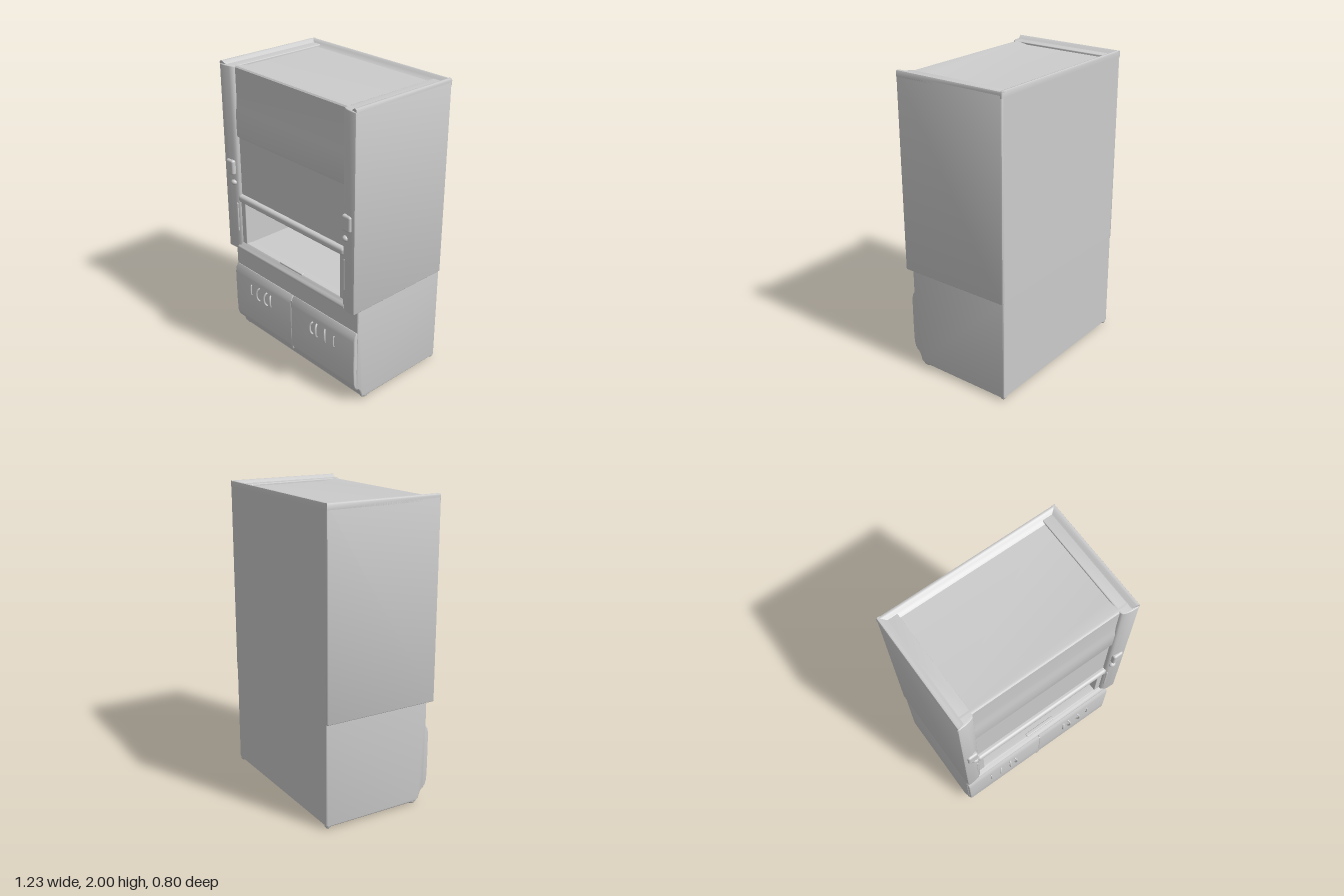
import * as THREE from 'three';
import { toCreasedNormals } from 'three/addons/utils/BufferGeometryUtils.js';
import { RoundedBoxGeometry } from 'three/addons/geometries/RoundedBoxGeometry.js';

const grey = new THREE.MeshStandardMaterial({ color: 0xcccccc });

export function createModel() {
  const model = new THREE.Group();

  const add = (name, geometry) => {
    const mesh = new THREE.Mesh(geometry, grey);
    mesh.name = name;
    model.add(mesh);
    return mesh;
  };

  // Rounded box given by its limits on each axis
  const box = (name, x0, x1, y0, y1, z0, z1, r = 0.008) => {
    const mesh = add(name, new RoundedBoxGeometry(x1 - x0, y1 - y0, z1 - z0, 3, r));
    mesh.position.set((x0 + x1) / 2, (y0 + y1) / 2, (z0 + z1) / 2);
    return mesh;
  };

  // Extrusion of an outline, centred on its depth, with softened edges
  const extrude = (points, depth, bevel) => {
    const shape = new THREE.Shape(points.map(([a, b]) => new THREE.Vector2(a, b)));
    const g = new THREE.ExtrudeGeometry(shape, {
      depth: depth - 2 * bevel, bevelEnabled: bevel > 0, bevelSize: bevel,
      bevelThickness: bevel, bevelOffset: -bevel, bevelSegments: 3,
    });
    return g.translate(0, 0, bevel - depth / 2);
  };
  // Outline of (z, y) points swept across x
  const sweepX = (points, width, bevel = 0) =>
    toCreasedNormals(extrude(points, width, bevel).rotateY(-Math.PI / 2), 0.7);

  // Lower cabinet: kick plate, bulging door front and apron in one side profile
  add('lowerCabinet', sweepX([
    [-0.39, 0.015], [0.27, 0.015], [0.295, 0.03], [0.31, 0.075], [0.325, 0.095],
    [0.34, 0.1], [0.34, 0.71], [-0.39, 0.71], [-0.4, 0.7], [-0.4, 0.025],
  ], 1.21, 0.008));

  // Cabinet doors, with a shallow seam between them
  for (const s of [-1, 1]) {
    const door = add('cabinetDoor', sweepX([
      [0.3, 0.095], [0.335, 0.1], [0.352, 0.115], [0.362, 0.15], [0.365, 0.25],
      [0.365, 0.47], [0.358, 0.505], [0.343, 0.53], [0.3, 0.54],
    ], 0.6, 0.006));
    door.position.x = s * 0.3005;
  }
  const seam = box('doorSeam', -0.012, 0.012, 0.12, 0.5, 0.34, 0.363, 0.004);
  seam.position.z -= 0.001;

  // Feet
  for (const x of [-0.585, 0.585]) for (const z of [-0.38, 0.255]) {
    const foot = add('foot', new THREE.SphereGeometry(0.02, 16, 10));
    foot.scale.z = z > 0 ? 1.6 : 1;
    foot.position.set(x, 0.02, z);
  }

  // Door handles: thin upright bows, mirrored on both doors
  const handle = (x, height, reach, radius, lean) => {
    const curve = new THREE.CatmullRomCurve3([
      [lean, height / 2, 0.355], [lean * 0.6, height / 2 - 0.004, 0.37],
      [0, height / 4, reach], [0, -height / 4, reach],
      [lean * 0.6, -height / 2 + 0.004, 0.37], [lean, -height / 2, 0.355],
    ].map((p) => new THREE.Vector3(...p)));
    const mesh = add('doorHandle', new THREE.TubeGeometry(curve, 24, radius, 8));
    mesh.position.set(x, 0.392, 0);
  };
  for (const s of [-1, 1]) {
    handle(s * 0.42, 0.08, 0.373, 0.005, 0);
    handle(s * 0.345, 0.1, 0.38, 0.006, s * -0.014);
    handle(s * 0.262, 0.1, 0.382, 0.007, s * -0.01);
    handle(s * 0.205, 0.09, 0.378, 0.007, s * 0.012);
  }

  // Side walls of the hood, with front posts curving inwards
  const wallPlan = [
    [0.5, -0.395], [0.603, -0.4], [0.612, -0.397], [0.615, -0.388], [0.615, 0.378],
    [0.612, 0.387], [0.603, 0.39], [0.56, 0.388], [0.53, 0.382], [0.508, 0.373], [0.5, 0.36],
  ];
  for (const s of [-1, 1]) {
    const plan = wallPlan.map(([x, z]) => [s * x, z]);
    const wall = extrude(plan, 1.29, 0.004).rotateX(Math.PI / 2);
    add('sideWall', toCreasedNormals(wall, 0.7)).position.y = 1.335;

    // Raised rim along the top of each side, sloping into the tray and down at the front
    const rim = extrude([
      [s * 0.615, 1.96], [s * 0.615, 1.988], [s * 0.611, 1.997], [s * 0.602, 2],
      [s * 0.592, 1.998], [s * 0.575, 1.985], [s * 0.555, 1.973], [s * 0.53, 1.966], [s * 0.53, 1.96],
    ], 0.785, 0).translate(0, 0, -0.0065);
    const p = rim.attributes.position;
    for (let i = 0; i < p.count; i++) {
      const inward = Math.max(0, 0.605 - Math.abs(p.getX(i)));
      if (p.getZ(i) > 0) p.setZ(i, p.getZ(i) - inward * 0.3);
    }
    add('sideRim', toCreasedNormals(rim, 0.7));

    // Opening jamb and inner liner
    box('jamb', s > 0 ? 0.46 : -0.51, s > 0 ? 0.51 : -0.46, 0.7, 1.1, -0.37, 0.358, 0.004);
    // Slim sash guide beside the opening
    const guide = add('sashGuide', new THREE.CapsuleGeometry(0.008, 0.2, 4, 10));
    guide.position.set(s * 0.52, 0.93, 0.375);

    // Switch plate and round knob on each post
    box('switchPlate', s * 0.553 - 0.036, s * 0.553 + 0.036, 1.24, 1.345, 0.365, 0.404, 0.014);
    const knob = add('knob', new THREE.SphereGeometry(0.02, 20, 14));
    knob.scale.set(1.15, 0.95, 1);
    knob.position.set(s * 0.535, 1.185, 0.383);
  }

  // Back panel and the raised rim above it
  box('backPanel', -0.6, 0.6, 0.69, 1.975, -0.4, -0.365, 0.004);
  add('backRim', sweepX([
    [-0.4, 1.96], [-0.335, 1.96], [-0.335, 1.966], [-0.352, 1.973], [-0.367, 1.985],
    [-0.38, 1.998], [-0.39, 2], [-0.397, 1.997], [-0.4, 1.988],
  ], 1.21));

  // Sunken roof tray, rising gently to the front
  add('roofTray', sweepX([
    [-0.39, 1.93], [0.35, 1.93], [0.355, 1.972], [0.347, 1.98], [0.335, 1.981],
    [0.25, 1.967], [-0.39, 1.967],
  ], 1.15));

  // Upper front panel with a slight outward step
  add('upperFrontPanel', sweepX([
    [0.32, 1.51], [0.36, 1.51], [0.364, 1.52], [0.364, 1.67], [0.361, 1.7], [0.357, 1.74],
    [0.355, 1.77], [0.355, 1.972], [0.347, 1.98], [0.32, 1.975],
  ], 1.03));

  // Sliding sash and its pull bar
  box('sash', -0.51, 0.51, 1.07, 1.55, 0.325, 0.348, 0.004);
  box('sashBar', -0.51, 0.51, 1.048, 1.1, 0.32, 0.38, 0.02);

  // Work surface and front sill with a small middle lip
  box('workSurface', -0.5, 0.5, 0.69, 0.738, -0.38, 0.355, 0.004);
  add('sill', sweepX([
    [0.3, 0.69], [0.374, 0.69], [0.383, 0.694], [0.386, 0.703], [0.383, 0.712],
    [0.37, 0.722], [0.362, 0.735], [0.355, 0.742], [0.34, 0.742], [0.3, 0.738],
  ], 1.05));
  box('sillLip', -0.11, 0.11, 0.73, 0.747, 0.335, 0.36, 0.005);

  return model;
}
